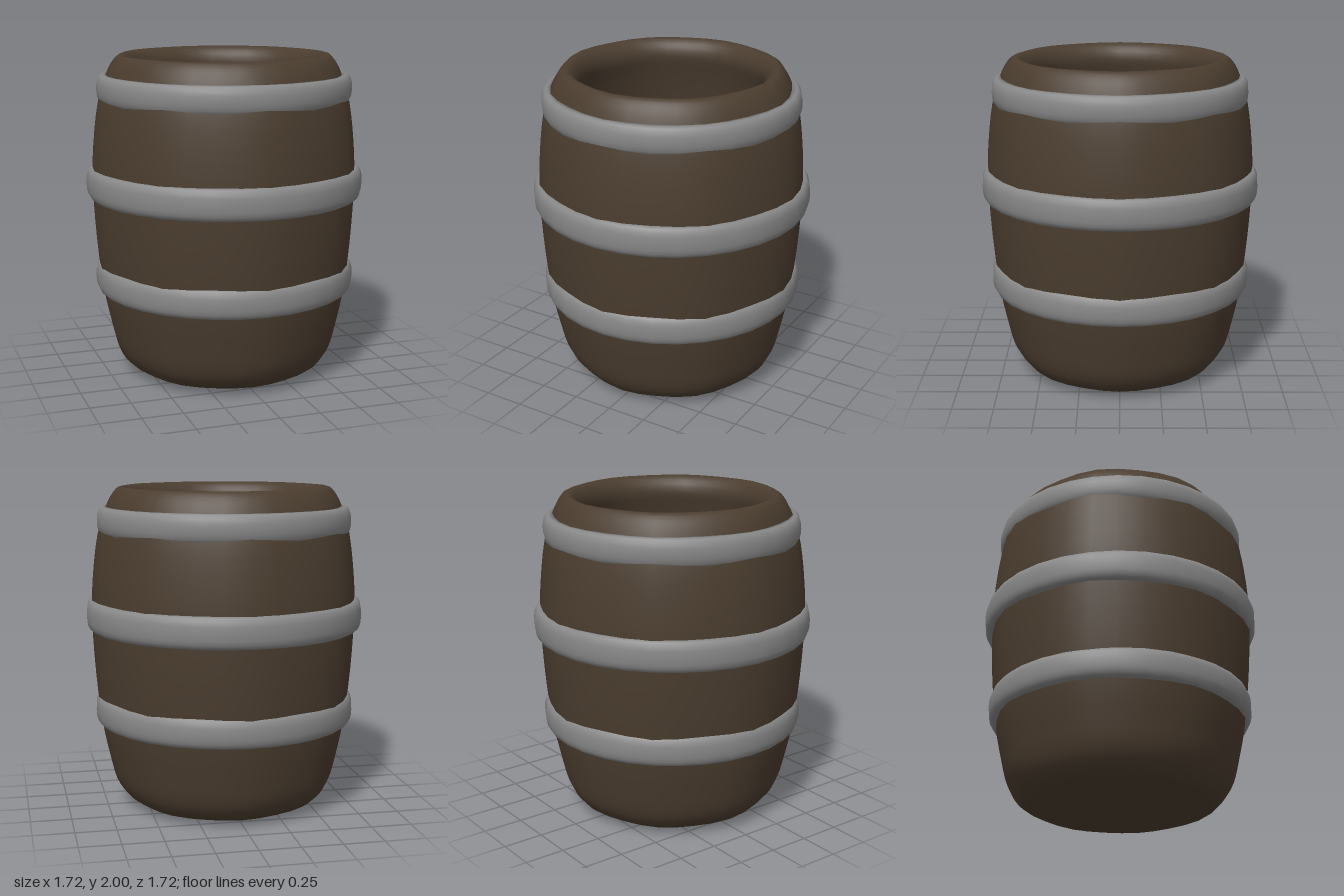
import * as THREE from 'three';
import { mergeVertices } from 'three/addons/utils/BufferGeometryUtils.js';

const SIDES = 32;

// Smooth lathe without a seam; facet pulls the surface in between eight staves
function revolve(points, facet = 0) {
  const lathe = new THREE.LatheGeometry(points, SIDES);
  lathe.deleteAttribute('uv');
  lathe.deleteAttribute('normal');
  const geometry = mergeVertices(lathe, 1e-4);
  const pos = geometry.attributes.position;
  for (let i = 0; i < pos.count; i++) {
    const angle = Math.atan2(pos.getX(i), pos.getZ(i));
    const s = 1 - facet * (1 - Math.cos(8 * angle)) / 2;
    pos.setX(i, pos.getX(i) * s);
    pos.setZ(i, pos.getZ(i) * s);
  }
  geometry.computeVertexNormals();
  return geometry;
}

export function createModel() {
  const group = new THREE.Group();
  const wood = new THREE.MeshStandardMaterial({ color: 0x4b3d2f });
  const metal = new THREE.MeshStandardMaterial({ color: 0x888888 });

  // Barrel body: underside, bulging wall, rounded rim, hollow inside, floor
  const profile = [
    [0, 0], [0.2, 0.003], [0.42, 0.008], [0.55, 0.025], [0.63, 0.075], [0.69, 0.17],
    [0.73, 0.32], [0.775, 0.54], [0.81, 0.85], [0.829, 1.2], [0.82, 1.45],
    [0.787, 1.71], [0.735, 1.88], [0.69, 1.965], [0.645, 2], [0.595, 1.97],
    [0.567, 1.89], [0.605, 1.75], [0.67, 1.45], [0.69, 1.1], [0.675, 0.7],
    [0.645, 0.35], [0.625, 0.19], [0.585, 0.125], [0.5, 0.11], [0.2, 0.11], [0, 0.11],
  ].map(([r, y]) => new THREE.Vector2(r, y));
  const curve = new THREE.SplineCurve(profile).getPoints(78);
  const barrel = new THREE.Mesh(revolve(curve, 0.018), wood);
  barrel.name = 'barrelBody';
  group.add(barrel);

  // Hoops: rounded bands, each [name, bottom, top, outer radius]
  const hoops = [
    ['lowerHoop', 0.532, 0.713, 0.812],
    ['middleHoop', 1.122, 1.312, 0.86],
    ['upperHoop', 1.71, 1.88, 0.788],
  ];
  for (const [name, y0, y1, r] of hoops) {
    // Half of the band's section, mirrored about its mid height
    const half = [[0.08, 0], [0.035, 0], [0.019, 0.009], [0.008, 0.03], [0.002, 0.055]];
    const band = [
      ...half.map(([inset, dy]) => new THREE.Vector2(r - inset, y0 + dy)),
      new THREE.Vector2(r, (y0 + y1) / 2),
      ...half.map(([inset, dy]) => new THREE.Vector2(r - inset, y1 - dy)).reverse(),
      new THREE.Vector2(r - 0.08, y0),
    ];
    const hoop = new THREE.Mesh(revolve(band), metal);
    hoop.name = name;
    group.add(hoop);
  }
  return group;
}
